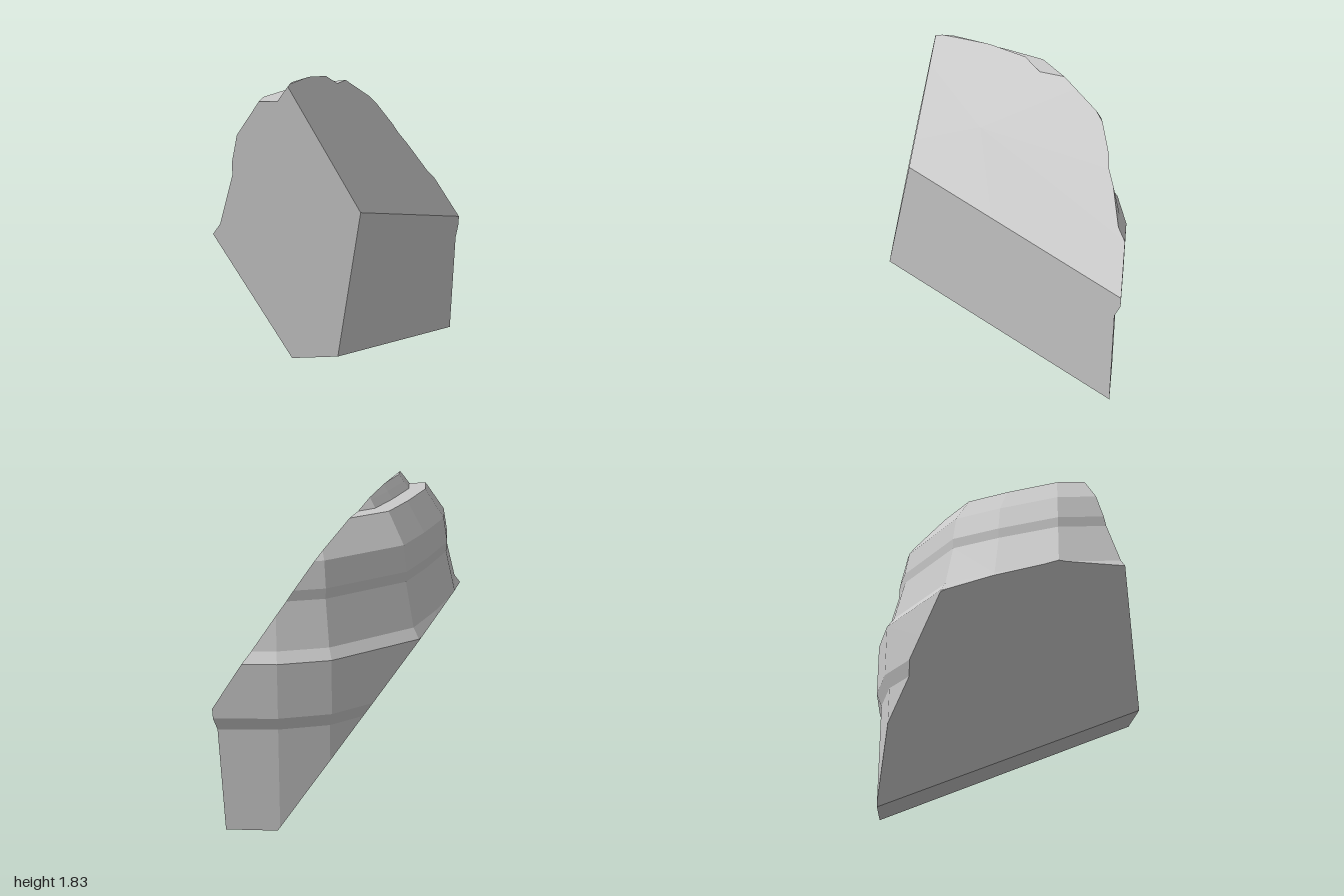
import * as THREE from 'three';

const V = (x, y, z) => new THREE.Vector3(x, y, z);

// Horizontal outline of the weathered wall at full width (x, z)
const outline = [
  [-1.15, 0.3], [-0.78, -0.18], [-0.45, -0.4], [-0.17, -0.56], [0.42, -0.56],
  [0.7, -0.45], [1.15, -0.15], [1.15, 1.0], [-1.15, 1.0],
];
const centre = [0.125, 0.55];

// Strata: height and scale of the outline about its centre
const strata = [
  [0, 0.973], [0.64, 0.973], [0.72, 1], [1.04, 1], [1.1, 0.964], [1.36, 0.91], [1.42, 0.914],
  [1.57, 0.892], [1.745, 0.793], [1.745, 0.707], [1.79, 0.68], [1.83, 0.655],
];

// Corners of the flat fracture faces
const peak = V(-0.27, 1.14, 0.47);
const lowFront = V(-0.48, 0.365, 0.555);
const lowRight = V(0.94, 0.01, -0.25);
const midRight = V(0.995, 0.78, -0.25);
const lowLeft = V(-0.7, 0.365, 0.435);
const lowBack = V(0.7, 0.005, -0.42);
const farLeft = V(-1, 1.06, 0.1);
const topFront = V(-0.545, 1.83, 0.155);
const inside = V(0.1, 0.95, -0.2);

const fractures = [
  [peak, lowFront, lowRight],    // lower front
  [peak, midRight, topFront],    // upper front
  [peak, lowLeft, topFront],     // side
  [lowFront, lowRight, lowLeft], // underside
  [lowLeft, lowBack, farLeft],   // rear underside
];

// Stack the scaled outlines into a closed set of triangles
function stackStrata() {
  const rings = strata.map(([y, s]) => outline.map(([x, z]) =>
    V(centre[0] + (x - centre[0]) * s, y, centre[1] + (z - centre[1]) * s)));
  const faces = [];
  const n = outline.length;
  for (let r = 0; r < rings.length - 1; r++) {
    for (let i = 0; i < n; i++) {
      const j = (i + 1) % n;
      const [a, b, c, d] = [rings[r][i], rings[r + 1][i], rings[r + 1][j], rings[r][j]];
      faces.push([a, b, c], [a, c, d]);
    }
  }
  faces.push(rings[0], [...rings[rings.length - 1]].reverse());
  return faces;
}

// Cut the solid by a plane and close the cut with a fan of triangles
function cut(faces, plane) {
  const kept = [];
  const rim = [];
  const addRim = (p) => {
    if (!rim.some((q) => q.distanceTo(p) < 1e-5)) rim.push(p);
  };
  for (const face of faces) {
    const out = [];
    face.forEach((a, i) => {
      const b = face[(i + 1) % face.length];
      const da = plane.distanceToPoint(a);
      const db = plane.distanceToPoint(b);
      if (da <= 0) out.push(a);
      if ((da <= 0) !== (db <= 0)) {
        const p = a.clone().lerp(b, da / (da - db));
        out.push(p);
        addRim(p);
      }
    });
    if (out.length > 2) kept.push(out);
  }
  if (rim.length < 3) return kept;
  const mid = rim.reduce((s, p) => s.add(p), V(0, 0, 0)).divideScalar(rim.length);
  const u = rim[0].clone().sub(mid).normalize();
  const v = plane.normal.clone().cross(u);
  const angle = (p) => {
    const d = p.clone().sub(mid);
    return Math.atan2(d.dot(v), d.dot(u));
  };
  rim.sort((a, b) => angle(a) - angle(b));
  rim.forEach((p, i) => kept.push([mid, p, rim[(i + 1) % rim.length]]));
  return kept;
}

export function createModel() {
  let faces = stackStrata();
  for (const corners of fractures) {
    const plane = new THREE.Plane().setFromCoplanarPoints(...corners);
    if (plane.distanceToPoint(inside) > 0) plane.negate();
    faces = cut(faces, plane);
  }

  const points = [];
  for (const f of faces) {
    for (let i = 1; i < f.length - 1; i++) points.push(f[0], f[i], f[i + 1]);
  }
  const geometry = new THREE.BufferGeometry().setFromPoints(points);
  geometry.computeVertexNormals();

  const rock = new THREE.Mesh(geometry,
    new THREE.MeshStandardMaterial({ color: 0xcccccc, flatShading: true }));
  rock.name = 'rockFragment';
  const group = new THREE.Group();
  group.name = 'rock';
  group.add(rock);
  return group;
}
